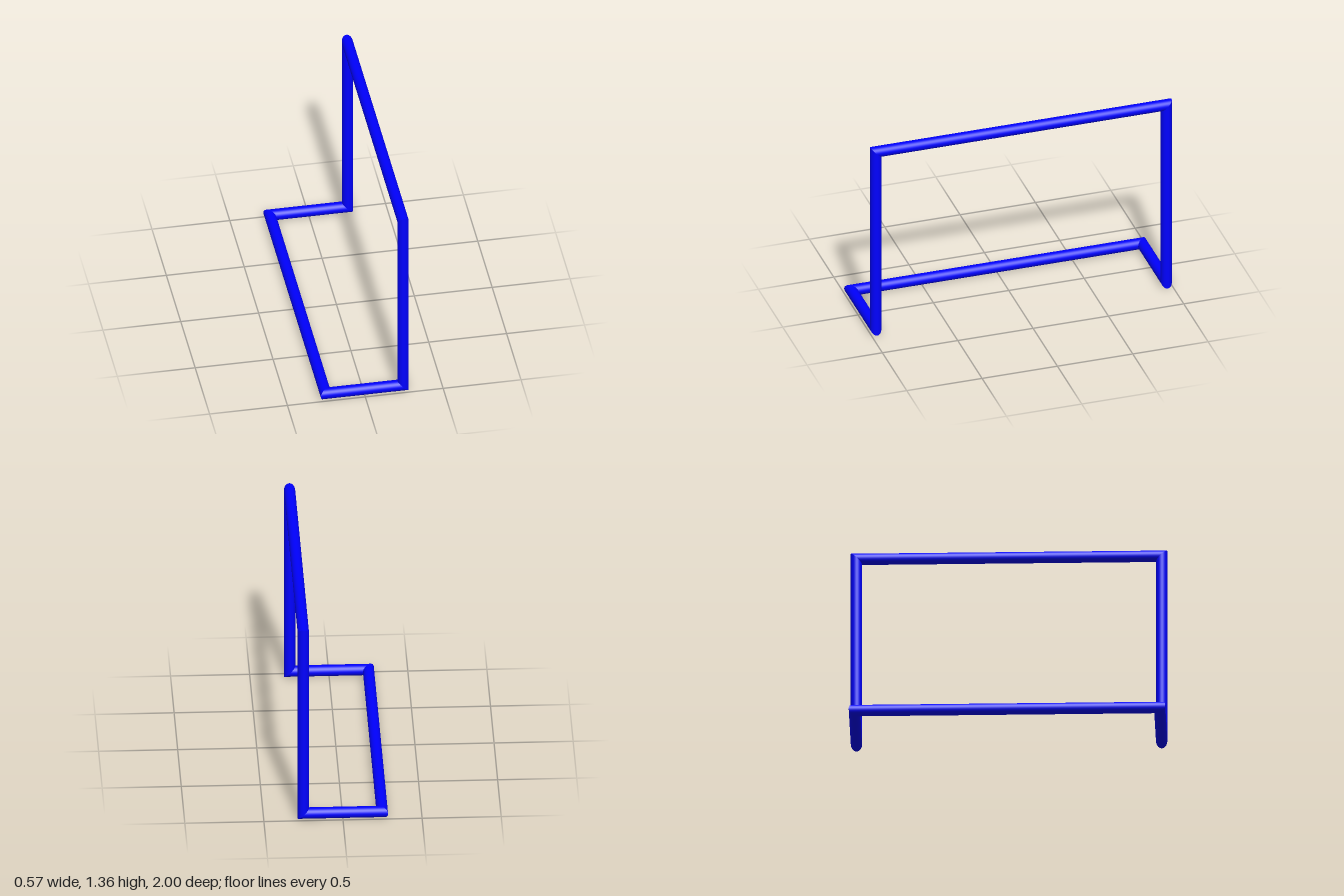
import * as THREE from 'three';

const R = 0.036; // tube radius
const X = 0.249, TOP = 1.322, Z = 1 - R;

// Centre line of the closed frame, one named bar starting at each corner
const corners = [
  ['topBar', X, TOP, Z],
  ['backPost', X, TOP, -Z],
  ['backFoot', X, R, -Z],
  ['groundBar', -X, R, -Z],
  ['frontFoot', -X, R, Z],
  ['frontPost', X, R, Z],
];

// Round bar from a to b, its ends cut to mitre with the neighbouring bars
function mitredBar(a, b, prevDir, dir, nextDir) {
  const length = a.distanceTo(b);
  const geo = new THREE.CylinderGeometry(R, R, length, 32, 1, true);
  geo.applyQuaternion(new THREE.Quaternion().setFromUnitVectors(new THREE.Vector3(0, 1, 0), dir));
  const pos = geo.attributes.position;
  const v = new THREE.Vector3();
  for (let i = 0; i < pos.count; i++) {
    v.fromBufferAttribute(pos, i);
    const neighbour = v.dot(dir) < 0 ? prevDir : nextDir;
    const radial = v.clone().addScaledVector(dir, -v.dot(dir));
    v.addScaledVector(dir, -radial.dot(neighbour));
    pos.setXYZ(i, v.x, v.y, v.z);
  }
  const mid = a.clone().add(b).multiplyScalar(0.5);
  return geo.translate(mid.x, mid.y, mid.z);
}

export function createModel() {
  const group = new THREE.Group();
  group.name = 'goalFrame';
  const blue = new THREE.MeshStandardMaterial({ color: 0x0000ff });

  const n = corners.length;
  const points = corners.map(([, x, y, z]) => new THREE.Vector3(x, y, z));
  const dirs = points.map((p, i) => points[(i + 1) % n].clone().sub(p).normalize());

  corners.forEach(([name], i) => {
    const next = (i + 1) % n, prev = (i + n - 1) % n;
    const bar = new THREE.Mesh(mitredBar(points[i], points[next], dirs[prev], dirs[i], dirs[next]), blue);
    bar.name = name;
    group.add(bar);
  });
  return group;
}
